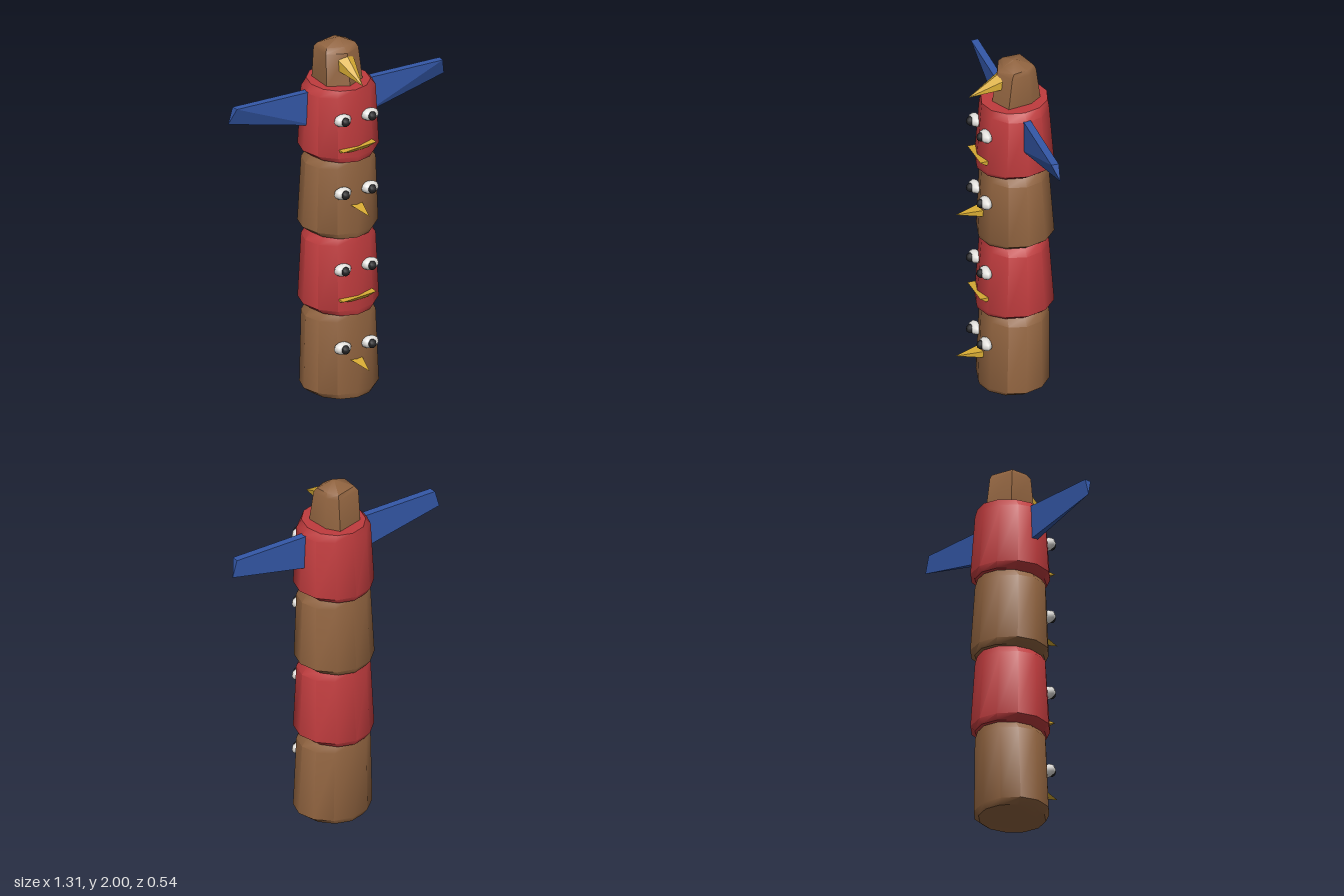
import * as THREE from 'three';
import { toCreasedNormals } from 'three/addons/utils/BufferGeometryUtils.js';
import { ConvexGeometry } from 'three/addons/geometries/ConvexGeometry.js';

const material = (name, color) => {
  const m = new THREE.MeshStandardMaterial({ color });
  m.name = name;
  return m;
};

// Skin a stack of equal-length rings, bottom to top, and cap both ends
function loft(rings, crease) {
  const n = rings[0].length, index = [];
  for (let r = 0; r < rings.length - 1; r++) {
    for (let i = 0; i < n; i++) {
      const a = r * n + i, b = r * n + (i + 1) % n;
      index.push(a, b, b + n, a, b + n, a + n);
    }
  }
  const top = (rings.length - 1) * n;
  for (let i = 1; i < n - 1; i++) {
    index.push(0, i + 1, i, top, top + i, top + i + 1);
  }
  const g = new THREE.BufferGeometry();
  g.setAttribute('position', new THREE.Float32BufferAttribute(rings.flat(2), 3));
  g.setIndex(index);
  return toCreasedNormals(g, crease);
}

// Twelve-sided ring given by its half width, back z and front z
function ring(y, halfWidth, back, front) {
  return Array.from({ length: 12 }, (_, i) => {
    const a = i * Math.PI / 6;
    return [halfWidth * Math.sin(a), y, (back + front) / 2 + (front - back) / 2 * Math.cos(a)];
  });
}

const hull = (points) => new ConvexGeometry(points.map((p) => new THREE.Vector3(...p)));

export function createModel() {
  const model = new THREE.Group();
  model.name = 'totemPole';
  const red = material('red paint', 0xc03c3e);
  const brown = material('brown wood', 0x916440);
  const blue = material('blue paint', 0x3458a8);
  const gold = material('gold paint', 0xd8ac34);
  const white = material('eye white', 0xe4e2de);
  const black = material('pupil black', 0x242426);

  const add = (name, geometry, mat, parent = model) => {
    const mesh = new THREE.Mesh(geometry, mat);
    mesh.name = name;
    parent.add(mesh);
    return mesh;
  };

  // Four carved blocks, alternating beaked brown and mouthed red
  const blocks = [
    { y0: 0, y1: 0.478, eye: 0.3, back: -0.242, front: 0.145, mat: brown },
    { y0: 0.482, y1: 0.917, eye: 0.75, back: -0.27, front: 0.155, mat: red },
    { y0: 0.921, y1: 1.358, eye: 1.19, back: -0.27, front: 0.145, mat: brown },
    { y0: 1.362, y1: 1.765, eye: 1.61, back: -0.27, front: 0.155, mat: red },
  ];
  const eyeGeometry = new THREE.SphereGeometry(1, 8, 6);
  blocks.forEach(({ y0, y1, eye, back, front, mat }, k) => {
    const block = new THREE.Group();
    block.name = `block${k + 1}`;
    model.add(block);
    add('body', loft([
      ring(y0, 0.175, back + 0.015, front - 0.006),
      ring(y0 + 0.03, 0.214, back, front),
      ring(y1 - 0.04, 0.2, -0.241, 0.128),
      ring(y1, 0.165, -0.238, 0.124),
    ], 0.75), mat, block);

    // Eyes
    for (const s of [-1, 1]) {
      const eyeball = add('eyeball', eyeGeometry, white, block);
      eyeball.position.set(s * 0.083, eye, 0.132);
      eyeball.scale.set(0.052, 0.034, 0.033);
      const pupil = add('pupil', eyeGeometry, black, block);
      pupil.position.set(s * 0.081, eye, 0.158);
      pupil.scale.set(0.023, 0.025, 0.024);
    }

    if (mat === brown) {
      // Pointed beak
      const y = eye - 0.098;
      add('beak', hull([
        [-0.042, y + 0.024, 0.1], [0.045, y + 0.024, 0.1],
        [0.045, y - 0.022, 0.1], [0, y, 0.27],
      ]), gold, block);
    } else {
      // Wedge mouth, slightly raised at one end
      const y = eye - 0.168;
      add('mouth', hull([
        [-0.1, y, 0.168], [-0.1, y, 0.09], [-0.1, y - 0.015, 0.135],
        [0.1, y + 0.018, 0.168], [0.1, y + 0.018, 0.09], [0.1, y - 0.006, 0.135],
        [-0.04, y - 0.018, 0.145], [0.05, y - 0.012, 0.15],
      ]), gold, block);
    }
  });

  // Wings: box-shaped root narrowing to a slanted tip
  for (const s of [-1, 1]) {
    add(s > 0 ? 'leftWing' : 'rightWing', hull([
      [s * 0.15, 1.73, -0.04], [s * 0.15, 1.73, -0.08],
      [s * 0.15, 1.53, -0.04], [s * 0.15, 1.53, -0.08],
      [s * 0.625, 1.73, -0.04], [s * 0.628, 1.73, -0.08],
      [s * 0.655, 1.635, -0.08],
    ]), blue);
  }

  // Irregular bird head
  const level = (y, points) => points.map(([x, z]) => [x, y, z]);
  add('head', loft([
    level(1.76, [[0, 0.067], [0.108, 0.012], [0.092, -0.12], [0.045, -0.187], [-0.11, -0.145], [-0.11, 0.012]]),
    level(1.94, [[0, 0.038], [0.096, -0.012], [0.082, -0.11], [0.04, -0.165], [-0.105, -0.135], [-0.105, -0.005]]),
    level(1.965, [[0, 0.005], [0.085, -0.025], [0.07, -0.1], [0.035, -0.155], [-0.09, -0.12], [-0.09, -0.025]]),
    level(2, [[0, -0.045], [0.008, -0.052], [0.008, -0.06], [0, -0.066], [-0.008, -0.06], [-0.008, -0.052]]),
  ], 0.7), brown);

  // Hooked head beak
  add('headBeak', hull([
    [0, 1.93, 0.03], [0.046, 1.905, 0.025], [0.046, 1.855, 0.03],
    [0, 1.825, 0.04], [-0.046, 1.845, 0.03], [-0.046, 1.905, 0.025],
    [0, 1.815, 0.2],
  ]), gold);

  return model;
}
